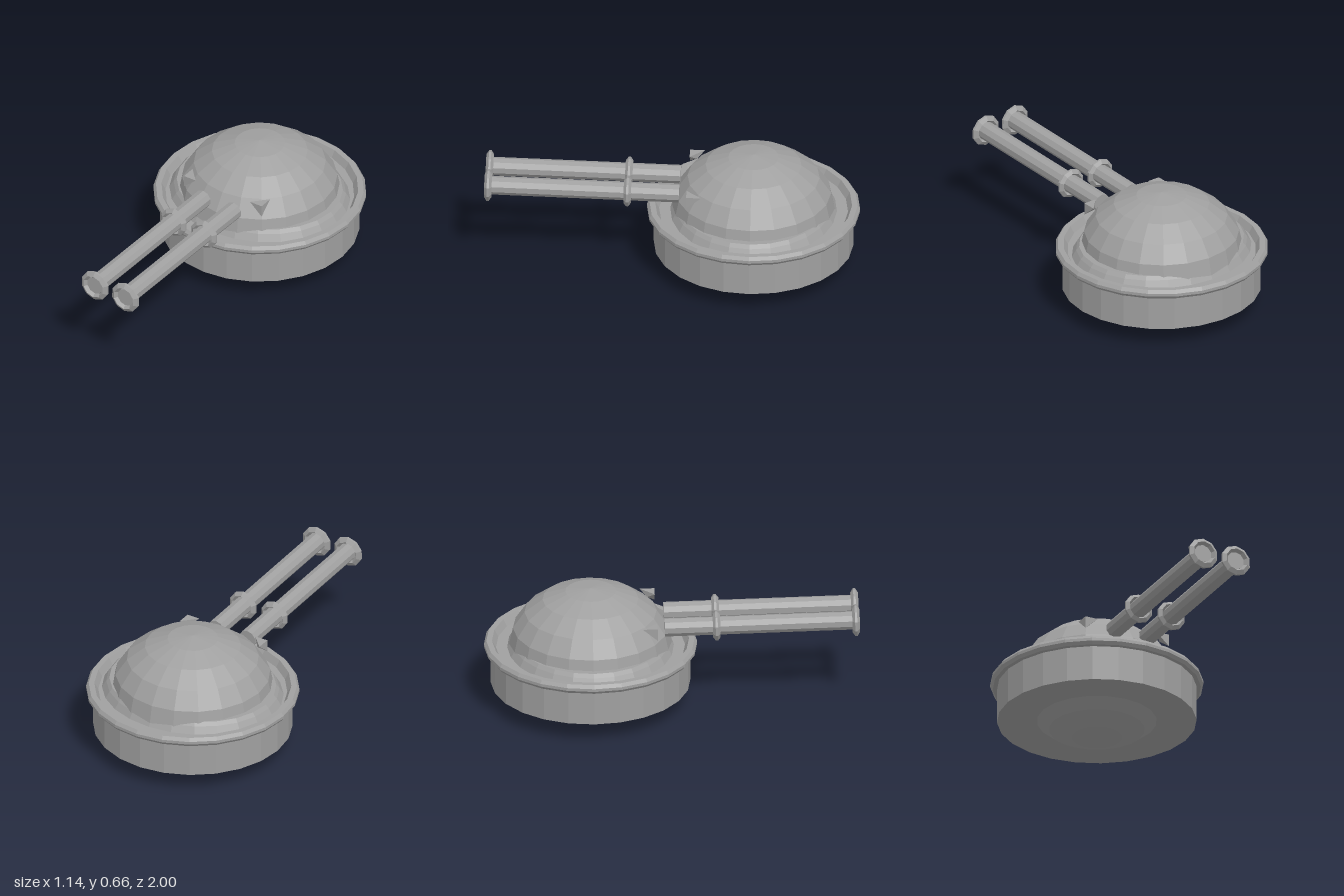
import * as THREE from 'three';
import { ConvexGeometry } from 'three/addons/geometries/ConvexGeometry.js';

const grey = new THREE.MeshStandardMaterial({ color: 0xa0a0a0, flatShading: true });
grey.name = 'hull grey';

function part(name, geometry, parent) {
  const mesh = new THREE.Mesh(geometry, grey);
  mesh.name = name;
  parent.add(mesh);
  return mesh;
}

// Lathe from [radius, height] pairs, outer side running upwards
function turned(points, sides) {
  return new THREE.LatheGeometry(points.map(([r, h]) => new THREE.Vector2(r, h)), sides);
}

// Bevelled flange around a barrel, centred on its own origin
const flange = (radius) => turned([
  [0.05, 0], [0.064, -0.02], [radius, -0.006], [radius, 0.006], [0.064, 0.02], [0.05, 0],
], 10);

export function createModel() {
  const model = new THREE.Group();
  model.name = 'gunTurret';

  const turret = new THREE.Group();
  turret.name = 'turret';
  turret.position.z = -0.432;
  model.add(turret);

  // Flattened ball that forms the dome above and the belly below
  const dome = part('dome', new THREE.SphereGeometry(1, 20, 10), turret);
  dome.scale.set(0.435, 0.33, 0.435);
  dome.position.y = 0.33;

  // Drum around the dome
  part('drum', turned([[0, 0.112], [0.532, 0.112], [0.532, 0.318], [0, 0.318]], 24), turret);

  // Bevelled rim on top of the drum
  part('rim', turned([
    [0.5, 0.312], [0.525, 0.305], [0.555, 0.305], [0.568, 0.322], [0.568, 0.338],
    [0.555, 0.356], [0.525, 0.356], [0.5, 0.312],
  ], 24), turret);

  // Oval collar that shows at the sides of the dome
  const collar = part('collar', turned([[0.5, 0.316], [0.475, 0.356], [0.458, 0.375], [0, 0.375]], 24), turret);
  collar.scale.z = 0.89;

  for (const [side, label] of [[1, 'left'], [-1, 'right']]) {
    // Barrel with middle and muzzle flanges, tilted slightly upwards
    const gun = new THREE.Group();
    gun.name = label + 'Gun';
    gun.position.set(side * 0.098, 0.468, -0.04);
    gun.rotation.x = Math.PI / 2 - 0.0235;
    model.add(gun);
    const barrel = part('barrel', new THREE.CylinderGeometry(0.05, 0.05, 1.02, 10), gun);
    barrel.position.y = 0.51;
    part('middleFlange', flange(0.082), gun).position.y = 0.275;
    part('muzzleFlange', flange(0.086), gun).position.y = 1.018;

    // Small pointed lug on the dome, rooted in its surface
    const lug = [
      [0.25, 0.53, -0.083], [0.175, 0.53, -0.083], [0.25, 0.463, -0.083],
      [0.25, 0.53, -0.163], [0.2125, 0.497, -0.123],
    ].map(([x, y, z]) => new THREE.Vector3(side * x, y, z));
    part(label + 'Lug', new ConvexGeometry(lug), model);
  }

  return model;
}
